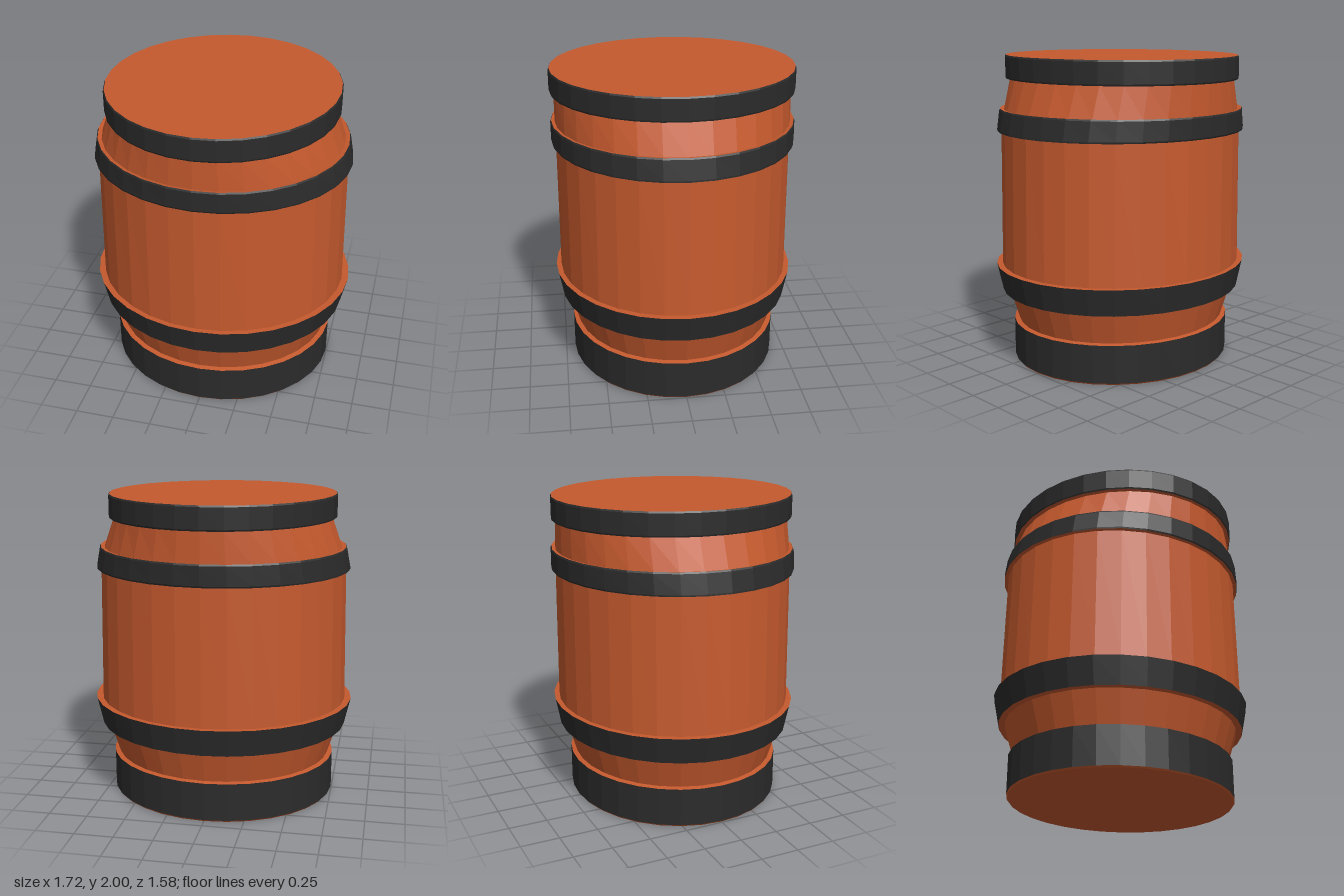
import * as THREE from 'three';

const SIDES = 32;

// Lofts elliptical rings [y, radiusX, radiusZ], listed from bottom to top
function loft(rings) {
  const pos = [];
  const point = ([y, rx, rz], i) => {
    const a = (i % SIDES) / SIDES * Math.PI * 2;
    return [rx * Math.cos(a), y, rz * Math.sin(a)];
  };
  for (let r = 0; r < rings.length - 1; r++) {
    const lo = rings[r], up = rings[r + 1];
    for (let i = 0; i < SIDES; i++) {
      const a = point(lo, i), b = point(up, i), c = point(up, i + 1), d = point(lo, i + 1);
      if (up[1] > 0) pos.push(...a, ...b, ...c);
      if (lo[1] > 0) pos.push(...a, ...c, ...d);
    }
  }
  const g = new THREE.BufferGeometry();
  g.setAttribute('position', new THREE.Float32BufferAttribute(pos, 3));
  g.computeVertexNormals();
  return g;
}

export function createModel() {
  const wood = new THREE.MeshStandardMaterial({ color: 0xc65a2e, flatShading: true });
  wood.name = 'orangeWood';
  const iron = new THREE.MeshStandardMaterial({ color: 0x2b2b2b, flatShading: true });
  iron.name = 'darkIron';

  // Hoops: outer dark faces only, the ledges belong to the wood
  const hoops = {
    bottomHoop: [[0.01, 0.748, 0.688], [0.257, 0.748, 0.688]],
    lowerHoop: [[0.47, 0.822, 0.757], [0.645, 0.862, 0.79]],
    upperHoop: [[1.52, 0.832, 0.778], [1.53, 0.831, 0.783], [1.65, 0.808, 0.783], [1.66, 0.802, 0.778]],
    topHoop: [[1.85, 0.735, 0.778], [1.86, 0.738, 0.783], [1.99, 0.738, 0.783], [2, 0.732, 0.778]],
  };
  const { bottomHoop, lowerHoop, upperHoop, topHoop } = hoops;
  const top = (h) => h[h.length - 1];

  // Wood: base, stave sections with the ledges above and below, and lid
  const woods = {
    base: [[0, 0, 0], [0, 0.74, 0.68], bottomHoop[0]],
    lowerStaves: [top(bottomHoop), [0.262, 0.715, 0.657], [0.47, 0.782, 0.717], lowerHoop[0]],
    middleStaves: [top(lowerHoop), [0.645, 0.82, 0.757], [1.52, 0.805, 0.753], upperHoop[0]],
    upperStaves: [top(upperHoop), [1.655, 0.775, 0.755], [1.85, 0.705, 0.755], topHoop[0]],
    lid: [top(topHoop), [2, 0, 0]],
  };

  const model = new THREE.Group();
  model.name = 'barrel';
  const addParts = (parts, material) => {
    for (const [name, rings] of Object.entries(parts)) {
      const mesh = new THREE.Mesh(loft(rings), material);
      mesh.name = name;
      model.add(mesh);
    }
  };
  addParts(woods, wood);
  addParts(hoops, iron);
  return model;
}
